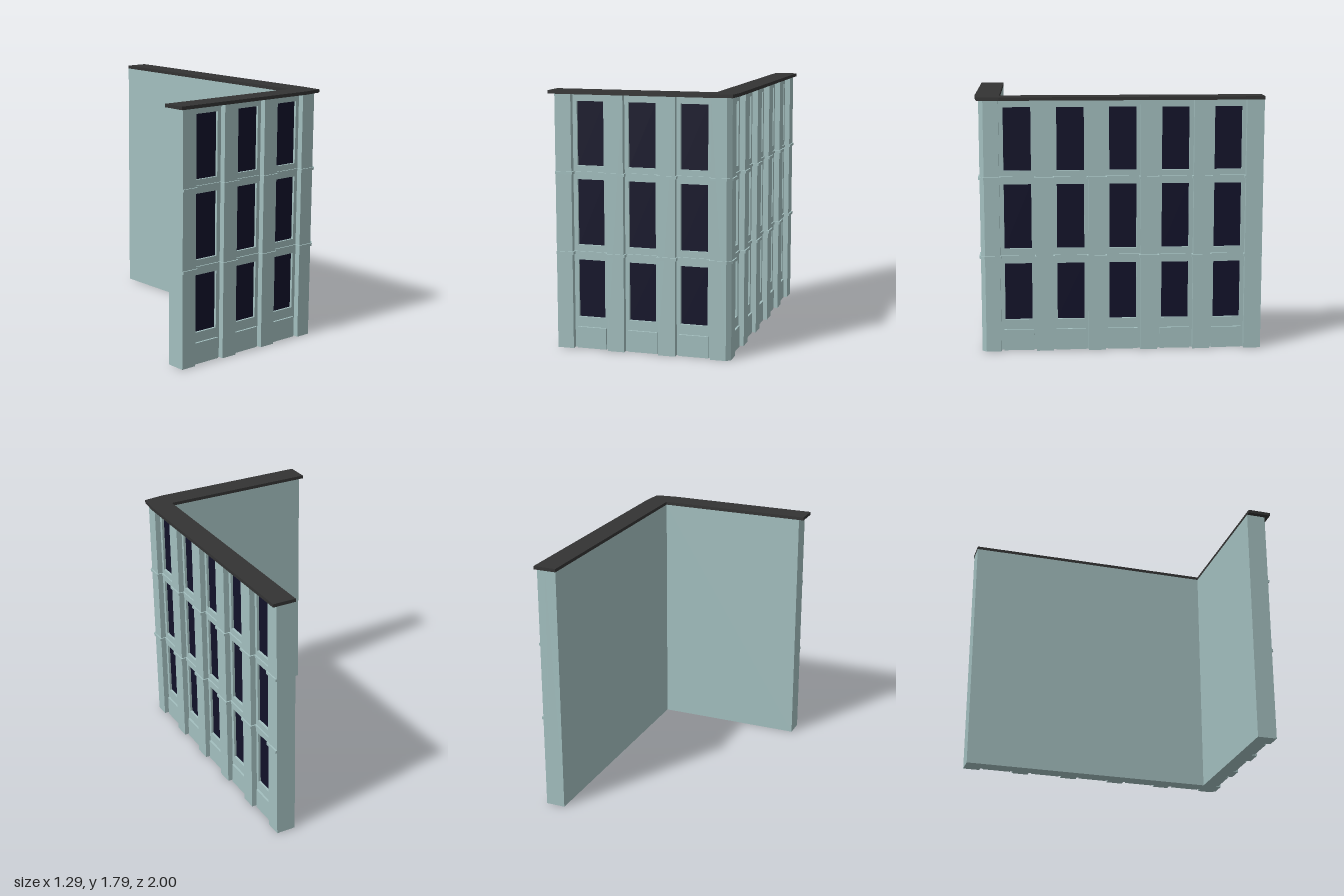
import * as THREE from 'three';

const wallMat = new THREE.MeshStandardMaterial({ color: 0xa3bfbf });
const glassMat = new THREE.MeshStandardMaterial({ color: 0x12122a });
const roofMat = new THREE.MeshStandardMaterial({ color: 0x333333 });

const WALL_H = 1.77, RECESS = 0.04, REVEAL = 0.02, LIP = 0.01;
const WINDOW_W = 0.19, PANEL_W = 0.21;
const STOREYS = [[0.22, 0.625], [0.73, 1.185], [1.28, 1.72]];
const BANDS = [[0.665, 0.685], [1.222, 1.24]];

function add(parent, name, geometry, material) {
  const mesh = new THREE.Mesh(geometry, material);
  mesh.name = name;
  parent.add(mesh);
  return mesh;
}

// Box given by its limits on each axis
function block(parent, name, [x0, x1], [y0, y1], [z0, z1], material = wallMat) {
  const mesh = add(parent, name, new THREE.BoxGeometry(x1 - x0, y1 - y0, z1 - z0), material);
  mesh.position.set((x0 + x1) / 2, (y0 + y1) / 2, (z0 + z1) / 2);
}

// Plan outline of [x, z] points raised from y0 to y1
function raise(parent, name, plan, y0, y1, material = wallMat) {
  const shape = new THREE.Shape(plan.map(([x, z]) => new THREE.Vector2(x, -z)));
  const geometry = new THREE.ExtrudeGeometry(shape, { depth: y1 - y0, bevelEnabled: false });
  geometry.rotateX(-Math.PI / 2).translate(0, y0, 0);
  add(parent, name, geometry, material);
}

// Street face running along local x; piers stand at z = front
function facade(name, front, piers, cornerStart, cornerEnd) {
  const group = new THREE.Group();
  group.name = name;
  const face = front - RECESS, glass = face - REVEAL;
  const start = piers[0][0], end = piers[piers.length - 1][1];

  // Recessed wall sheet with window openings
  const rect = (C, x0, x1, y0, y1) => new C([[x0, y0], [x1, y0], [x1, y1], [x0, y1]]
    .map(([x, y]) => new THREE.Vector2(x, y)));
  const sheet = rect(THREE.Shape, start, end, 0, WALL_H);

  for (let i = 0; i < piers.length - 1; i++) {
    const a = piers[i][1], b = piers[i + 1][0], c = (a + b) / 2;
    for (const [y0, y1] of STOREYS) {
      const x0 = c - WINDOW_W / 2, x1 = c + WINDOW_W / 2;
      sheet.holes.push(rect(THREE.Path, x0, x1, y0, y1));
      block(group, 'windowPane', [x0, x1], [y0, y1], [glass - 0.01, glass + 0.003], glassMat);
    }
    block(group, 'basePanel', [c - PANEL_W / 2, c + PANEL_W / 2], [0, 0.15], [face - 0.01, face + 0.015]);
    for (const y of BANDS) block(group, 'bayBand', [a, b], y, [face - 0.01, face + LIP]);
  }
  add(group, 'wallFace', new THREE.ExtrudeGeometry(sheet, { depth: REVEAL, bevelEnabled: false }), wallMat)
    .position.z = glass;

  // Piers and the band wrapped round them; the corner post is built separately
  piers.forEach(([a, b], i) => {
    if ((cornerStart && i === 0) || (cornerEnd && i === piers.length - 1)) return;
    block(group, 'pier', [a, b], [0, WALL_H], [glass, front]);
    const x0 = a - (i === 0 ? 0 : LIP), x1 = b + (i === piers.length - 1 ? 0 : LIP);
    for (const y of BANDS) block(group, 'pierBand', [x0, x1], y, [face, front + LIP]);
  });
  return group;
}

export function createModel() {
  const building = new THREE.Group();
  building.name = 'cornerBuilding';

  // L-shaped core behind both street faces
  raise(building, 'wallCore', [[-0.615, 0.83], [0.48, 0.83], [0.48, -1], [0.56, -1],
    [0.56, 0.91], [-0.615, 0.91]], 0, WALL_H);

  building.add(facade('frontFace', 0.97,
    [[-0.615, -0.5], [-0.25, -0.13], [0.115, 0.235], [0.48, 0.56]], false, true));

  // Side face is turned so its local x runs towards the back
  const side = facade('sideFace', 0.62,
    [[-0.91, -0.835], [-0.585, -0.465], [-0.22, -0.1], [0.145, 0.265], [0.515, 0.635], [0.88, 1]], true, false);
  side.rotation.y = Math.PI / 2;
  building.add(side);

  // Chamfered corner post with its bands
  raise(building, 'cornerPost', [[0.48, 0.835], [0.48, 0.97], [0.59, 0.97], [0.62, 0.94], [0.62, 0.835]], 0, WALL_H);
  for (const [y0, y1] of BANDS) {
    raise(building, 'cornerBand', [[0.47, 0.9], [0.47, 0.98], [0.595, 0.98], [0.63, 0.945],
      [0.63, 0.825], [0.55, 0.825]], y0, y1);
  }

  // Roof ledge, overhanging the street sides
  raise(building, 'roofLedge', [[-0.65, 0.83], [0.48, 0.83], [0.48, -1], [0.645, -1],
    [0.645, 0.83], [0.63, 0.98], [0.48, 1], [-0.65, 1]], WALL_H, 1.793, roofMat);

  return building;
}
